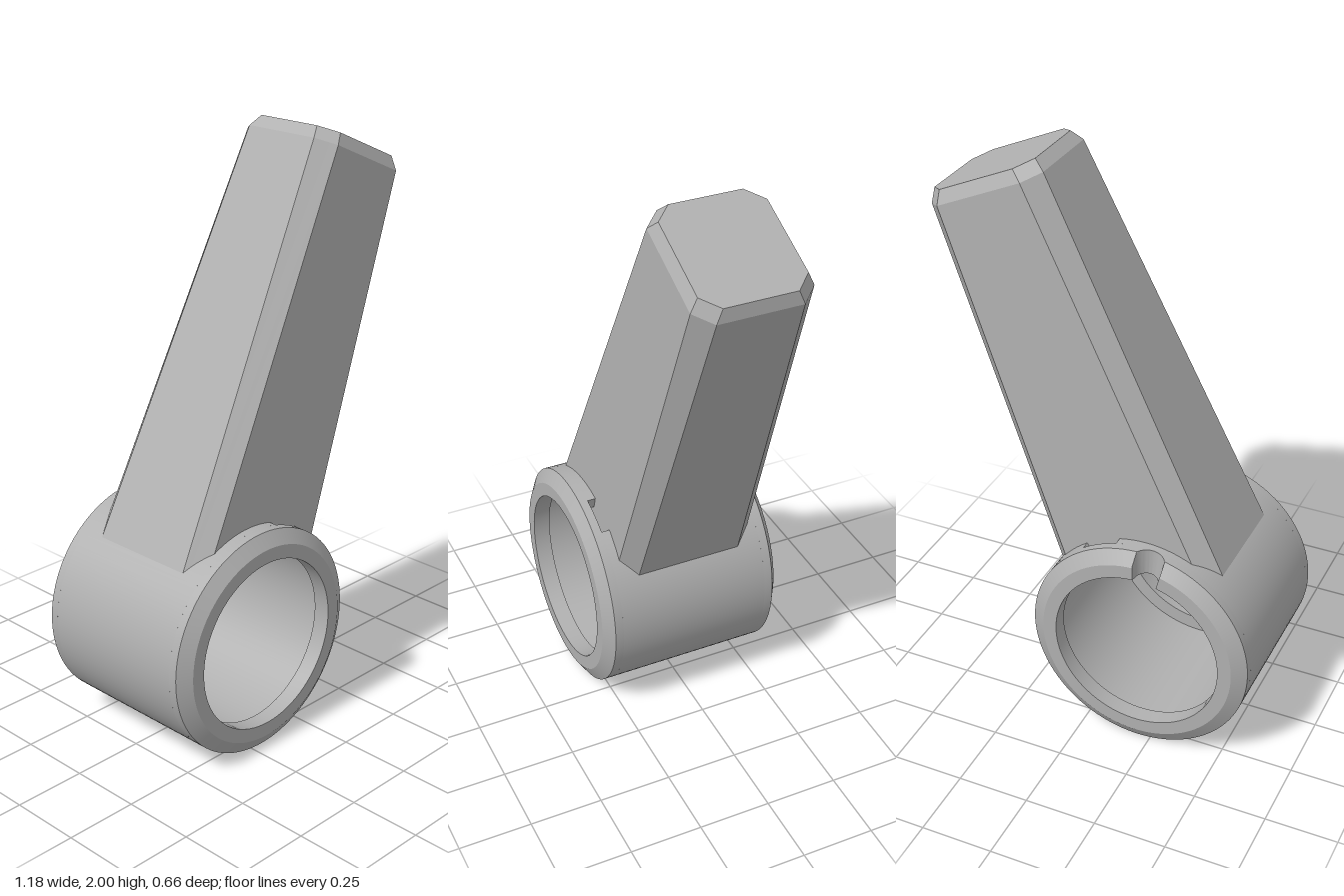
import * as THREE from 'three';
import { toCreasedNormals } from 'three/addons/utils/BufferGeometryUtils.js';

const OUTER = 0.39, BORE = 0.295, CAVITY = 0.347; // collar radii
const LIP = 0.27, CHAMFER = 0.3, END = 0.33;      // positions along the collar axis

// Collects quads and triangles into a geometry with sharp creases
function makeBuilder() {
  const out = [];
  const tri = (...pts) => pts.forEach((p) => out.push(...p));
  const quad = (a, b, c, d) => { tri(a, b, c); tri(a, c, d); };
  const build = () => {
    const g = new THREE.BufferGeometry();
    g.setAttribute('position', new THREE.Float32BufferAttribute(out, 3));
    return toCreasedNormals(g, 0.35);
  };
  return { tri, quad, build };
}

// Sweeps a convex profile of [radius, z] around the z axis; angle 0 points up
function band(profileAt, a0, a1, steps, capped = true) {
  const { tri, quad, build } = makeBuilder();
  const ring = (k) => {
    const a = a0 + (a1 - a0) * k / steps;
    return profileAt(2 * k / steps - 1).map(([r, z]) => [r * Math.sin(a), r * Math.cos(a), z]);
  };
  for (let k = 0; k < steps; k++) {
    const p = ring(k), q = ring(k + 1);
    p.forEach((_, i) => {
      const j = (i + 1) % p.length;
      quad(p[i], p[j], q[j], q[i]);
    });
  }
  if (capped) {
    const s = ring(0), e = ring(steps);
    for (let i = 1; i < s.length - 1; i++) {
      tri(s[0], s[i + 1], s[i]);
      tri(e[0], e[i], e[i + 1]);
    }
  }
  return build();
}

// Tapered octagonal lever whose foot follows the collar wall
function leverGeometry() {
  const { tri, quad, build } = makeBuilder();
  const mid = -0.0625;
  const halfU = (v) => 0.305 - 0.0545 * v;
  const halfZ = (v) => 0.255 - 0.0355 * v;
  const footY = (u) => (Math.abs(u) <= 0.2 ? 0.297 : Math.sqrt(0.365 ** 2 - u * u));

  const section = (hu, hz, c, y) => {
    const us = [mid - hu, mid - hu + c, mid - hu * 0.47, mid + hu - c, mid + hu];
    return us.map((u, i) => [u, y, i % 4 ? hz : hz - c]);
  };
  // Foot stations: position across, and whether the corner is cut
  const foot = [[-0.354, 1], [-0.294, 0], [-0.2, 0], [0.172, 0], [0.228, 1]].map(([u, cut]) => {
    const v = footY(u);
    return [u, v, halfZ(v) - cut * 0.057];
  });
  const shoulder = section(halfU(1.605), halfZ(1.605), 0.057, 1.605);
  const top = section(0.197, 0.176, 0.055, 1.648);

  const mirrorZ = ([x, y, z]) => [x, y, -z];
  const loops = [foot, shoulder, top].map((s) => [...s, ...s.map(mirrorZ).reverse()]);
  for (let l = 0; l < 2; l++) {
    const a = loops[l], b = loops[l + 1];
    a.forEach((_, i) => {
      const j = (i + 1) % a.length;
      quad(a[i], a[j], b[j], b[i]);
    });
  }
  const t = loops[2];
  for (let i = 1; i < t.length - 1; i++) tri(t[0], t[i], t[i + 1]);
  for (let i = 0; i < 4; i++) {
    quad(foot[i], mirrorZ(foot[i]), mirrorZ(foot[i + 1]), foot[i + 1]);
  }
  return build();
}

export function createModel() {
  const grey = new THREE.MeshStandardMaterial({ color: 0xb0b0b0 });
  grey.name = 'plainGrey';

  const model = new THREE.Group();
  model.name = 'collarWithLever';
  const tilted = new THREE.Group();
  tilted.name = 'tiltedAssembly';
  tilted.position.set(-0.205, 0.39, 0);
  tilted.rotation.z = -0.418;
  model.add(tilted);

  const add = (name, geometry) => {
    const mesh = new THREE.Mesh(geometry, grey);
    mesh.name = name;
    tilted.add(mesh);
  };
  const FULL = Math.PI * 2;
  const rim = 0.343;

  // Front lip: full ring with a chamfered outer edge
  const frontLip = () => [[OUTER, LIP], [OUTER, CHAMFER], [rim, END], [BORE, END], [BORE, LIP]];
  add('frontLip', band(frontLip, 0, FULL, 96, false));

  // Middle wall: thinner, open in a narrow slot below the lever
  const wall = () => [[OUTER, -LIP], [OUTER, LIP], [CAVITY, LIP], [CAVITY, -LIP]];
  add('collarWall', band(wall, 0.167, FULL - 0.167, 96));

  // Back lip: interrupted by a round-ended notch
  const n0 = -0.664, n1 = -0.38;
  const backLip = () => [[rim, -END], [OUTER, -CHAMFER], [OUTER, -LIP], [BORE, -LIP], [BORE, -END]];
  add('backLip', band(backLip, n1, n0 + FULL, 96));
  const notch = (t) => {
    const z = 0.326 - 0.055 * Math.sqrt(Math.max(0, 1 - t * t));
    const edge = Math.min(z, CHAMFER);
    const r = OUTER - (z - edge) * (OUTER - rim) / (END - CHAMFER);
    return [[r, -z], [OUTER, -edge], [OUTER, -LIP], [BORE, -LIP], [BORE, -z]];
  };
  add('notchFloor', band(notch, n0, n1, 24));

  add('lever', leverGeometry());
  return model;
}
